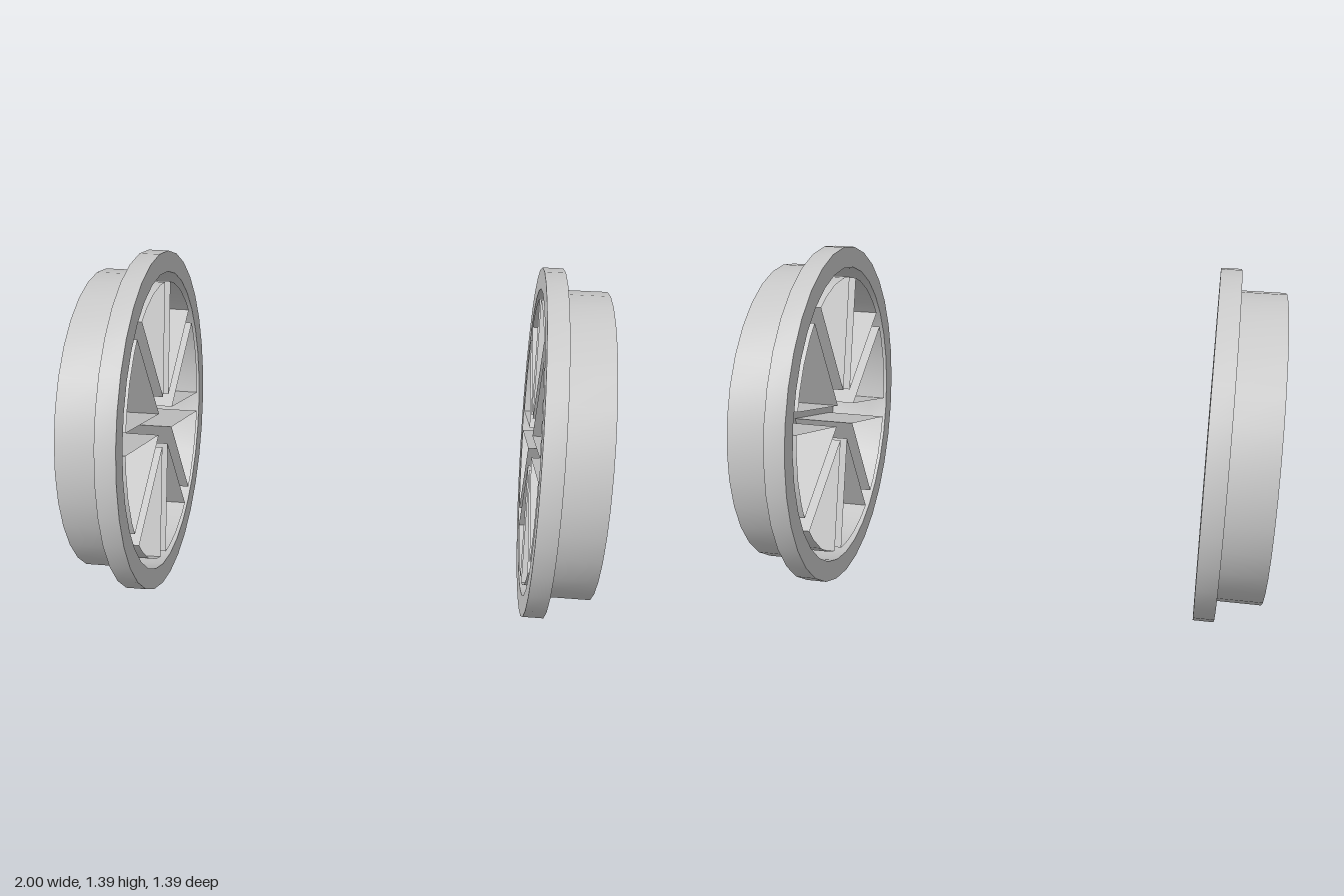
import * as THREE from 'three';
import { toCreasedNormals } from 'three/addons/utils/BufferGeometryUtils.js';

const SIDES = 32;            // facets around the wheel
const SPOKES = 8;
const OUTER = 0.693;         // flange radius
const TREAD = 0.61;          // tread radius
const OPENING = 0.57;        // outer radius of the openings
const HALF_SPOKE = 0.043;
const X_IN = 0.745, X_STEP = 0.825, X_OUT = 1;

const material = new THREE.MeshStandardMaterial({ color: 0xcccccc, side: THREE.DoubleSide });

function addMesh(group, geometry, name) {
  const mesh = new THREE.Mesh(geometry, material);
  mesh.name = name;
  group.add(mesh);
}

// Outline of the opening between two spokes: inner corner, then the arc
function openingPoints(index) {
  const sector = Math.PI / SPOKES;
  const mid = index * sector * 2;
  const step = (2 * Math.PI) / SIDES;
  const end = sector - Math.asin(HALF_SPOKE / OPENING);
  const polar = (r, a) => new THREE.Vector2(r * Math.cos(a), r * Math.sin(a));
  return [
    polar(HALF_SPOKE / Math.sin(sector), mid),
    ...[-end, -step, 0, step, end].map((a) => polar(OPENING, mid + a)),
  ];
}

// Sheet walls running inward from an outline, facing into the opening
function wallGeometry(points) {
  const pos = [];
  points.forEach((p, i) => {
    const q = points[(i + 1) % points.length];
    pos.push(p.x, p.y, X_OUT, q.x, q.y, X_OUT, q.x, q.y, X_IN);
    pos.push(p.x, p.y, X_OUT, q.x, q.y, X_IN, p.x, p.y, X_IN);
  });
  const geometry = new THREE.BufferGeometry();
  geometry.setAttribute('position', new THREE.Float32BufferAttribute(pos, 3));
  return toCreasedNormals(geometry, 0.4).rotateY(Math.PI / 2);
}

function createWheel() {
  const wheel = new THREE.Group();

  // Stepped rim: tread, flange and the flange's inner wall
  const profile = [
    [TREAD, X_STEP], [TREAD, X_IN], [OUTER, X_IN],
    [OUTER, X_STEP], [TREAD, X_STEP], [TREAD, X_OUT],
  ].map(([r, x]) => new THREE.Vector2(r, x));
  const rim = toCreasedNormals(new THREE.LatheGeometry(profile, SIDES), 0.5);
  addMesh(wheel, rim.rotateZ(-Math.PI / 2), 'rim');

  // Outer face with spokes left between the openings
  const disc = new THREE.Shape();
  for (let i = 0; i < SIDES; i++) {
    const a = (i / SIDES) * Math.PI * 2;
    const x = TREAD * Math.cos(a), y = TREAD * Math.sin(a);
    if (i) disc.lineTo(x, y); else disc.moveTo(x, y);
  }
  for (let i = 0; i < SPOKES; i++) {
    const points = openingPoints(i);
    disc.holes.push(new THREE.Path(points));
    addMesh(wheel, wallGeometry(points), 'spokeWall' + (i + 1));
  }
  const face = new THREE.ShapeGeometry(disc);
  addMesh(wheel, face.translate(0, 0, X_OUT).rotateY(Math.PI / 2), 'spokedFace');

  return wheel;
}

export function createModel() {
  const model = new THREE.Group();
  model.name = 'wheelPair';
  for (const side of ['left', 'right']) {
    const wheel = createWheel();
    wheel.name = side + 'Wheel';
    wheel.position.y = OUTER;
    if (side === 'right') wheel.rotation.y = Math.PI;
    model.add(wheel);
  }
  return model;
}
